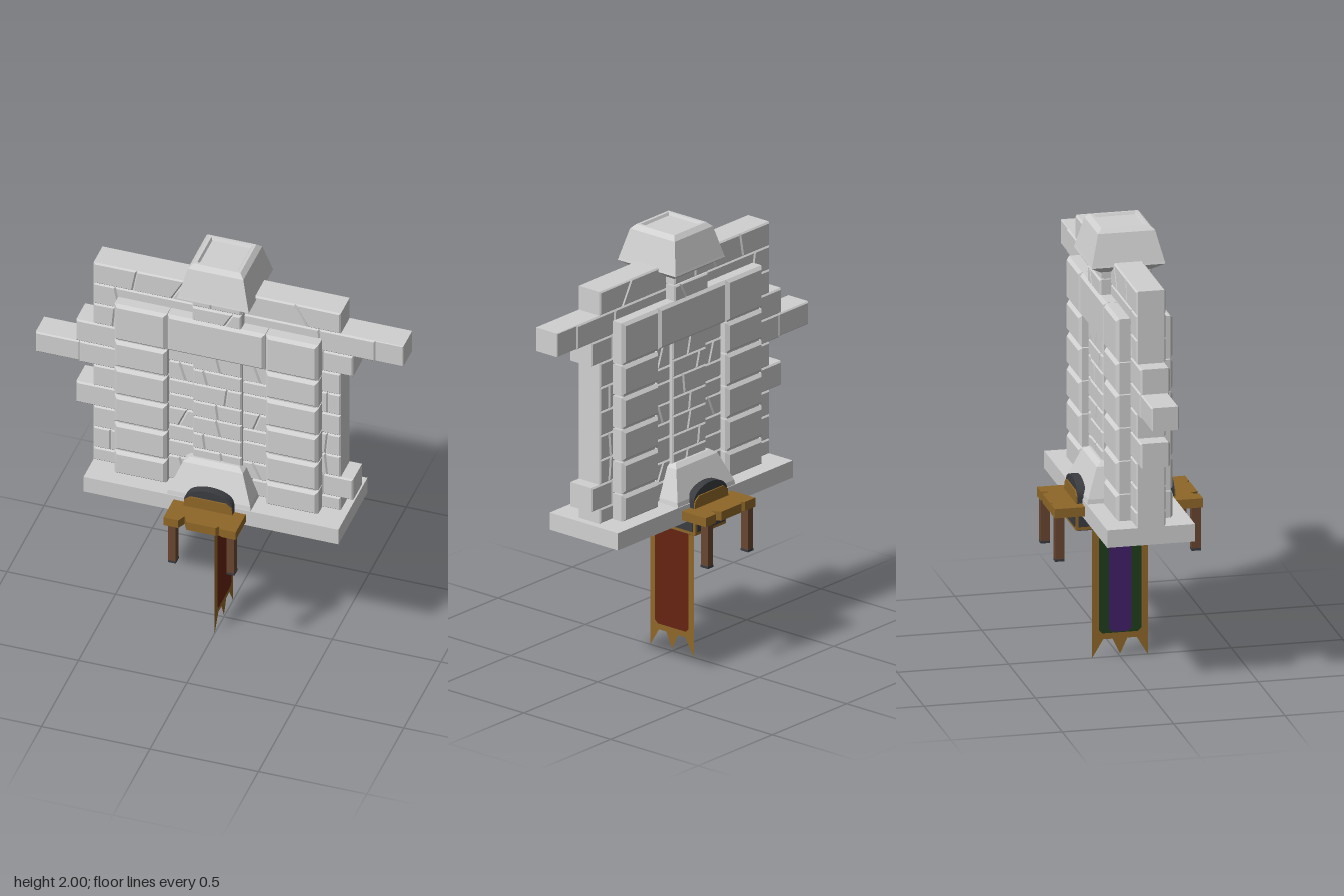
import * as THREE from 'three';

const mat = (name, color, side = THREE.FrontSide) => {
  const m = new THREE.MeshStandardMaterial({ color, side });
  m.name = name;
  return m;
};

export function createModel() {
  const model = new THREE.Group();
  model.name = 'stoneMonument';
  const stone = mat('stone', 0xd0d0d0);
  const gold = mat('agedGold', 0x8f6728, THREE.DoubleSide);
  const wood = mat('darkWood', 0x68462f);
  const iron = mat('darkIron', 0x3b3c40);
  const red = mat('redCloth', 0x652311, THREE.DoubleSide);
  const green = mat('greenCloth', 0x1f3d1c, THREE.DoubleSide);
  const purple = mat('purpleCloth', 0x42206a, THREE.DoubleSide);

  const group = (name, parent = model) => {
    const g = new THREE.Group();
    g.name = name;
    parent.add(g);
    return g;
  };
  const add = (parent, name, geo, material) => {
    const m = new THREE.Mesh(geo, material);
    m.name = name;
    parent.add(m);
    return m;
  };
  const box = (parent, name, material, x0, x1, y0, y1, z0, z1) =>
    add(parent, name, new THREE.BoxGeometry(x1 - x0, y1 - y0, z1 - z0), material)
      .position.set((x0 + x1) / 2, (y0 + y1) / 2, (z0 + z1) / 2);
  const shapeOf = (pts) => new THREE.Shape(pts.map(([x, y]) => new THREE.Vector2(x, y)));

  // Chamfered stone of any outline, reaching +-depth in z
  const stoneBlock = (parent, name, pts, depth, b = 0.012) => {
    const geo = new THREE.ExtrudeGeometry(shapeOf(pts), {
      depth: 2 * (depth - b), bevelThickness: b, bevelSize: b, bevelOffset: -b, bevelSegments: 1,
    });
    geo.translate(0, 0, -(depth - b));
    return add(parent, name, geo, stone);
  };
  const rect = (x0, x1, y0, y1) => [[x0, y0], [x1, y0], [x1, y1], [x0, y1]];

  // One course of stones; each cut is [x at bottom, x at top]
  const course = (parent, name, x0, x1, y0, y1, depth, cuts = [], b = 0.007) => {
    const edges = [[x0, x0], ...cuts, [x1, x1]];
    for (let i = 0; i + 1 < edges.length; i++) {
      const [l, r] = [edges[i], edges[i + 1]];
      stoneBlock(parent, name, [[l[0], y0], [r[0], y0], [r[1], y1], [l[1], y1]], depth, b);
    }
  };

  // Square stone turned from a profile of [half width, y]
  const squareTurn = (parent, name, profile, x = 0) => {
    const pts = profile.map(([w, y]) => new THREE.Vector2(w * Math.SQRT2, y));
    const geo = new THREE.LatheGeometry(pts, 4, Math.PI / 4).toNonIndexed();
    geo.computeVertexNormals();
    add(parent, name, geo, stone).position.x = x;
  };

  // Base slab
  box(model, 'baseSlab', stone, -0.58, 0.595, 0.69, 0.77, -0.197, 0.197);

  // Wall of uneven courses
  const wall = group('wall');
  box(wall, 'wallCore', stone, -0.57, 0.55, 0.765, 1.84, -0.055, 0.055);
  [
    [0.77, 0.84, -0.58, 0.56, []],
    [0.84, 0.953, -0.58, 0.617, [[-0.5, -0.5], [0.48, 0.48]]],
    [0.953, 1.067, -0.58, 0.56, [[0.5, 0.49]]],
    [1.067, 1.18, -0.66, 0.56, [[0.49, 0.5]]],
    [1.18, 1.292, -0.58, 0.56, []],
    [1.292, 1.405, -0.645, 0.56, [[0.5, 0.5]]],
    [1.405, 1.52, -0.66, 0.56, []],
    [1.52, 1.63, -0.58, 0.617, [[-0.49, -0.48], [0.48, 0.48]]],
    [1.63, 1.742, -0.58, 0.72, [[-0.46, -0.48], [0.47, 0.46]]],
    [1.742, 1.853, -0.58, 0.56, [[-0.4, -0.38], [-0.22, -0.16], [0.41, 0.35]]],
  ].forEach(([y0, y1, x0, x1, cuts]) => course(wall, 'wallStone', x0, x1, y0, y1, 0.066, cuts));
  stoneBlock(wall, 'juttingStoneRight', rect(-0.848, -0.643, 1.295, 1.402), 0.062, 0.006);
  stoneBlock(wall, 'juttingStoneLeft', rect(0.718, 0.848, 1.632, 1.742), 0.062, 0.003);

  // Side columns of stacked blocks
  const columns = group('columns');
  for (const [x0, x1] of [[-0.465, -0.223], [0.232, 0.475]]) {
    box(columns, 'columnCore', stone, x0 + 0.014, x1 - 0.014, 0.765, 1.68, -0.112, 0.112);
    for (const [y0, y1] of [[0.765, 0.89], [0.897, 1.042], [1.05, 1.194],
      [1.201, 1.346], [1.354, 1.494], [1.5, 1.695]])
      stoneBlock(columns, 'columnBlock', rect(x0, x1, y0, y1), 0.128, 0.014);
  }
  stoneBlock(model, 'lintel', rect(-0.221, 0.23, 1.5, 1.695), 0.126, 0.014);

  // Recessed masonry between the columns
  const panel = group('recessedPanel');
  box(panel, 'panelCore', stone, -0.235, 0.245, 0.765, 1.51, -0.075, 0.075);
  const leftRows = [0.77, 0.9, 0.985, 1.07, 1.165, 1.24, 1.32, 1.42, 1.505];
  const rightRows = [0.77, 0.86, 0.95, 1.06, 1.13, 1.22, 1.32, 1.39, 1.505];
  for (let i = 0; i < 8; i++) {
    const s = i % 2 ? 0.02 : -0.015;
    course(panel, 'panelStone', -0.23, -0.1, leftRows[i], leftRows[i + 1], 0.086, i % 3 ? [] : [[-0.16 - s, -0.16 + s]]);
    course(panel, 'panelStone', 0.11, 0.24, rightRows[i], rightRows[i + 1], 0.086, i % 3 === 1 ? [[0.18 + s, 0.18 - s]] : []);
  }

  // Central pier with slanted joints, running up to the cap
  const pier = group('centralPier');
  box(pier, 'pierCore', stone, -0.098, 0.108, 0.9, 1.83, -0.094, 0.094);
  [
    [0.92, 0.98, [[0.03, 0.02]]],
    [0.98, 1.065, [[-0.05, -0.06]]],
    [1.065, 1.155, [[0.02, 0]]],
    [1.155, 1.24, [[0.01, 0]]],
    [1.24, 1.335, [[0.04, 0.05]]],
    [1.335, 1.415, [[-0.04, -0.06]]],
    [1.415, 1.505, [[0.02, 0]]],
    [1.69, 1.765, [[0.04, 0.08]]],
    [1.77, 1.81, [[-0.02, -0.02]]],
  ].forEach(([y0, y1, cuts]) => course(pier, 'pierStone', -0.108, 0.118, y0, y1, y0 > 1.6 ? 0.117 : 0.105, cuts));

  // Pier foot and cap
  squareTurn(model, 'pierFoot', [[0.194, 0.765], [0.19, 0.79], [0.138, 0.92], [0.115, 0.937], [0, 0.937]], -0.004);
  squareTurn(model, 'cap', [[0, 1.8], [0.115, 1.8], [0.166, 1.835], [0.163, 1.845], [0.128, 1.98],
    [0.108, 2], [0.095, 2], [0.088, 1.988], [0, 1.988]], 0.005);

  // Iron lined box beneath the slab
  const chest = group('lowerBox');
  box(chest, 'boxFrame', gold, -0.1, 0.105, 0.622, 0.75, -0.222, 0.222);
  box(chest, 'boxUnderside', iron, -0.092, 0.097, 0.617, 0.623, -0.212, 0.212);
  for (const s of [-1, 1]) {
    box(chest, 'boxEndPanel', iron, -0.09, 0.095, 0.637, 0.71, s * 0.223 - 0.003, s * 0.223 + 0.003);
    box(chest, 'boxSidePanel', iron, 0.0025 + s * 0.1035 - 0.003, 0.0025 + s * 0.1035 + 0.003, 0.637, 0.692, -0.21, 0.21);
  }

  // Shelf, legs and arched plate, front and back
  for (const s of [1, -1]) {
    const shelf = group(s > 0 ? 'frontShelf' : 'backShelf');
    if (s < 0) shelf.rotation.y = Math.PI;
    const top = new THREE.ExtrudeGeometry(shapeOf([[-0.165, -0.185], [0.168, -0.185], [0.168, -0.333],
      [0.1, -0.333], [0.085, -0.318], [0.075, -0.333], [0.01, -0.333], [-0.06, -0.333], [-0.08, -0.295],
      [-0.097, -0.333], [-0.165, -0.333]]), { depth: 0.042, bevelEnabled: false });
    top.rotateX(-Math.PI / 2);
    add(shelf, 'shelfTop', top, gold).position.y = 0.707;
    for (const x of [-0.128, 0.142]) {
      box(shelf, 'shelfLeg', wood, x - 0.017, x + 0.017, 0.515, 0.71, 0.288, 0.328);
      box(shelf, 'legFoot', iron, x - 0.018, x + 0.018, 0.505, 0.516, 0.287, 0.329);
    }
    const arch = new THREE.Shape();
    arch.moveTo(-0.11, 0);
    arch.lineTo(0.115, 0);
    arch.lineTo(0.115, 0.03);
    arch.absellipse(0.0025, 0.03, 0.1125, 0.068, 0, Math.PI, false);
    add(shelf, 'archPlate', new THREE.ExtrudeGeometry(arch, { depth: 0.038, bevelEnabled: false, curveSegments: 10 }), iron)
      .position.set(0, 0.747, 0.18);
    add(shelf, 'archTrim', new THREE.ExtrudeGeometry(shapeOf([[-0.11, 0], [0.115, 0], [0.112, 0.035], [0.085, 0.056],
      [-0.08, 0.056], [-0.107, 0.035]]), { depth: 0.006, bevelEnabled: false }), gold).position.set(0, 0.747, 0.218);
  }

  // Hanging banner with a ragged hem
  const banner = group('banner');
  const cloth = new THREE.ShapeGeometry(shapeOf([[-0.125, 0.63], [-0.125, 0], [-0.075, 0.082], [-0.033, 0.082],
    [0, 0.01], [0.033, 0.082], [0.075, 0.082], [0.125, 0], [0.125, 0.63]]));
  add(banner, 'bannerCloth', cloth, gold);
  const field = (w, y) => new THREE.ShapeGeometry(shapeOf([[-w, 0.63], [-w, y + 0.015], [-w + 0.015, y],
    [w - 0.015, y], [w, y + 0.015], [w, 0.63]]));
  add(banner, 'redField', field(0.095, 0.11), red).position.z = 0.003;
  add(banner, 'greenField', field(0.095, 0.11), green).position.z = -0.003;
  add(banner, 'purpleStripe', field(0.05, 0.115), purple).position.z = -0.005;
  banner.rotation.y = Math.PI / 2;

  return model;
}
